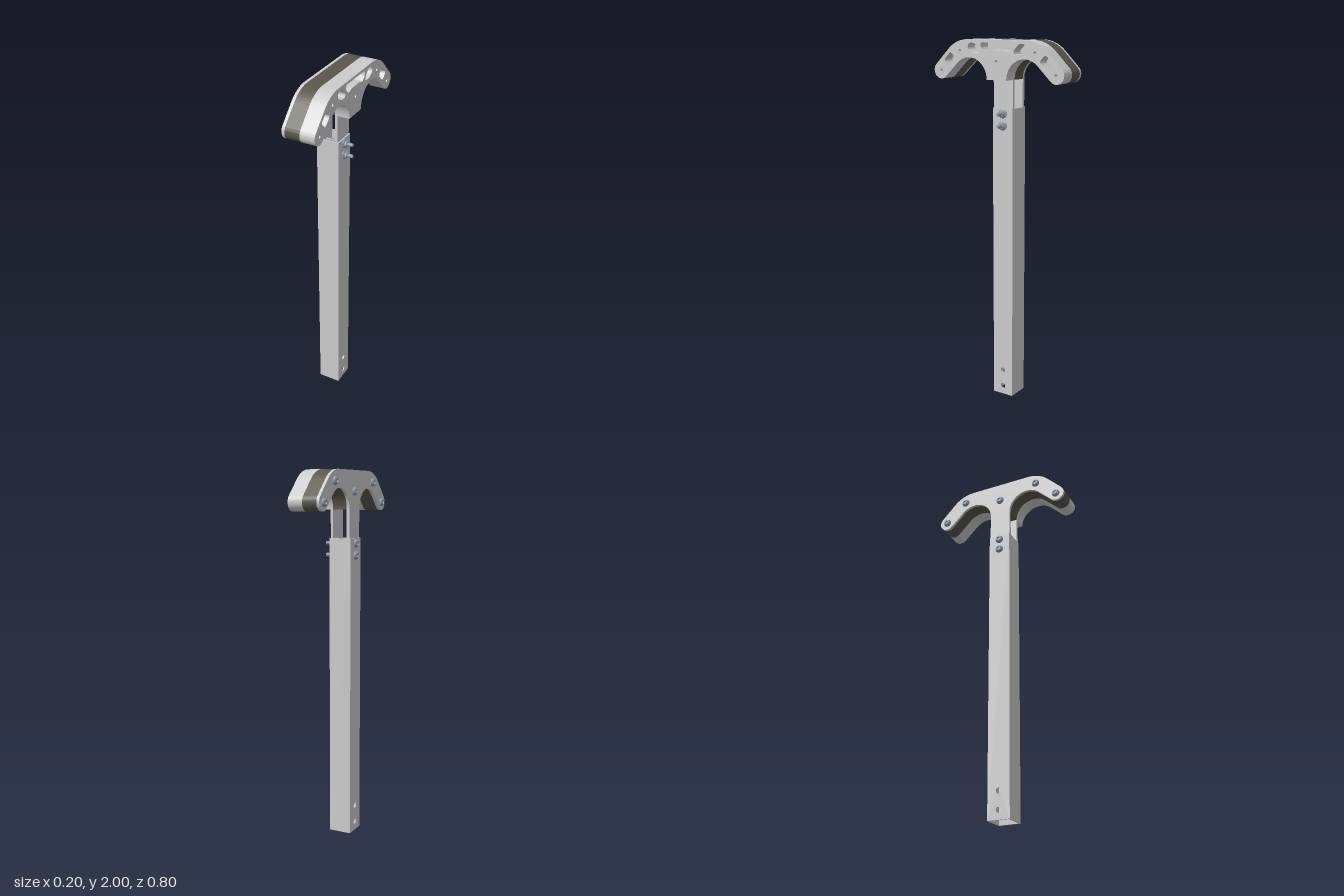
import * as THREE from 'three';
import { toCreasedNormals } from 'three/addons/utils/BufferGeometryUtils.js';

const grey = new THREE.MeshStandardMaterial({ color: 0xcccccc });
const dark = new THREE.MeshStandardMaterial({ color: 0x5a564a });
const steel = new THREE.MeshStandardMaterial({ color: 0x8c9aa8 });
const PI = Math.PI;

function add(parent, name, geometry, material, x = 0, y = 0, z = 0) {
  const mesh = new THREE.Mesh(geometry, material);
  mesh.name = name;
  mesh.position.set(x, y, z);
  parent.add(mesh);
  return mesh;
}

// Side profile (drawn in z, y) extruded along +x
function slab(shape, thickness) {
  const g = new THREE.ExtrudeGeometry(shape, { depth: thickness, bevelEnabled: false, curveSegments: 16 });
  return toCreasedNormals(g.rotateY(PI / 2), 0.5);
}

// Turned part, profile as [radius, height], axis pointing to dir * x
function turned(profile, dir, segments = 24) {
  const g = new THREE.LatheGeometry(profile.map(p => new THREE.Vector2(...p)), segments);
  return toCreasedNormals(g.rotateZ(-dir * PI / 2), 0.6);
}

// T-shaped handle outline with a stem reaching down to the given height
function handleShape(bottom) {
  const s = new THREE.Shape();
  s.moveTo(-0.061, bottom);
  s.lineTo(0.061, bottom);
  s.absarc(0.171, 1.797, 0.11, PI, PI / 4, true);
  s.absarc(0.356, 1.834, 0.045, -3 * PI / 4, PI / 4, false);
  s.absarc(0.179, 1.82, 0.18, PI / 4, PI / 2, false);
  s.absarc(-0.179, 1.82, 0.18, PI / 2, 3 * PI / 4, false);
  s.absarc(-0.356, 1.834, 0.045, 3 * PI / 4, 7 * PI / 4, false);
  s.absarc(-0.171, 1.797, 0.11, 3 * PI / 4, 0, true);
  s.closePath();
  return s;
}

// Polygon hole with rounded corners
function roundedPath(points, r) {
  const v = points.map(p => new THREE.Vector2(...p));
  const path = new THREE.Path();
  v.forEach((c, i) => {
    const toward = q => {
      const d = q.clone().sub(c);
      return c.clone().add(d.setLength(Math.min(r, d.length() * 0.45)));
    };
    const a = toward(v[(i + v.length - 1) % v.length]);
    const b = toward(v[(i + 1) % v.length]);
    if (i === 0) path.moveTo(a.x, a.y); else path.lineTo(a.x, a.y);
    path.quadraticCurveTo(c.x, c.y, b.x, b.y);
  });
  path.closePath();
  return path;
}

function roundHole(z, y, r) {
  return new THREE.Path().absarc(z, y, r, 0, PI * 2, true);
}

const HEAD = [[0.023, 0], [0.0225, 0.004], [0.019, 0.010], [0.013, 0.0145], [0.010, 0.0145], [0.010, 0.006], [0, 0.006]];
const handleBolts = [[-0.354, 1.833], [-0.23, 1.94], [0, 1.89], [0.23, 1.94], [0.354, 1.833]];
const tubeBolts = [1.617, 1.553];

export function createModel() {
  const model = new THREE.Group();
  model.name = 'handlePost';

  // Square hollow post, open at both ends, cross-drilled near the foot
  const post = new THREE.Group();
  post.name = 'post';
  model.add(post);
  const height = 1.645, half = 0.0625, wall = 0.007, cx = -0.024;
  const side = new THREE.Shape([[-half, 0], [half, 0], [half, height], [-half, height]].map(p => new THREE.Vector2(...p)));
  side.holes.push(roundHole(0, 0.05, 0.015), roundHole(0, 0.147, 0.015));
  add(post, 'postSideRight', slab(side, wall), grey, cx - half);
  add(post, 'postSideLeft', slab(side, wall), grey, cx + half - wall);
  for (const s of [-1, 1]) {
    add(post, s > 0 ? 'postFront' : 'postBack', new THREE.BoxGeometry(2 * (half - wall), height, wall),
      grey, cx, height / 2, s * (half - wall / 2));
  }

  // Two T plates whose stems slide into the post
  const handle = new THREE.Group();
  handle.name = 'handle';
  model.add(handle);
  add(handle, 'outerPlate', slab(handleShape(1.5), 0.016), grey, -0.079);
  add(handle, 'innerPlate', slab(handleShape(1.5), 0.014), grey, 0.017);

  // Dark core between the plates
  add(handle, 'core', slab(handleShape(1.795), 0.08), dark, -0.063);

  // Grip block with lightening pockets and bolt holes
  const grip = handleShape(1.795);
  grip.holes.push(roundedPath([[0.097, 1.986], [0.097, 1.958], [0.07, 1.935], [0.045, 1.947],
    [-0.045, 1.947], [-0.07, 1.935], [-0.097, 1.958], [-0.097, 1.986]], 0.012));
  for (const s of [-1, 1]) {
    const mirror = pts => pts.map(([z, y]) => [s * z, y]);
    grip.holes.push(
      roundedPath(mirror([[0.174, 1.982], [0.137, 1.982], [0.104, 1.947], [0.109, 1.926], [0.148, 1.93], [0.182, 1.953]]), 0.012),
      roundedPath(mirror([[0.337, 1.889], [0.293, 1.933], [0.257, 1.897], [0.301, 1.853]]), 0.015));
  }
  for (const [z, y] of handleBolts) grip.holes.push(roundHole(-z, y, 0.008));
  add(handle, 'grip', slab(grip, 0.067), grey, 0.031);

  // Button-head bolts through the handle
  for (const [z, y] of handleBolts) {
    add(handle, 'handleBolt', turned(HEAD, -1), steel, -0.079, y, z);
    add(handle, 'handleBoltShank', turned([[0, 0], [0.0075, 0], [0.0075, 0.15], [0, 0.15]], 1, 12), steel, -0.078, y, z);
  }

  // Bolts and flanged nuts clamping the post to the plates
  for (const y of tubeBolts) {
    const bolt = new THREE.Group();
    bolt.name = 'postBolt';
    bolt.position.y = y;
    model.add(bolt);
    add(bolt, 'boltHead', turned(HEAD, -1), steel, cx - half);
    add(bolt, 'boltShank', turned([[0, 0], [0.010, 0], [0.010, 0.17], [0.008, 0.174], [0, 0.174]], 1, 16), steel, cx - half + 0.001);
    add(bolt, 'nutFlange', turned([[0.025, 0], [0.025, 0.004], [0.019, 0.009], [0, 0.009]], 1), steel, cx + half);
    add(bolt, 'nut', turned([[0.019, 0], [0.019, 0.018], [0.015, 0.021], [0, 0.021]], 1, 6), steel, cx + half);
  }
  return model;
}
